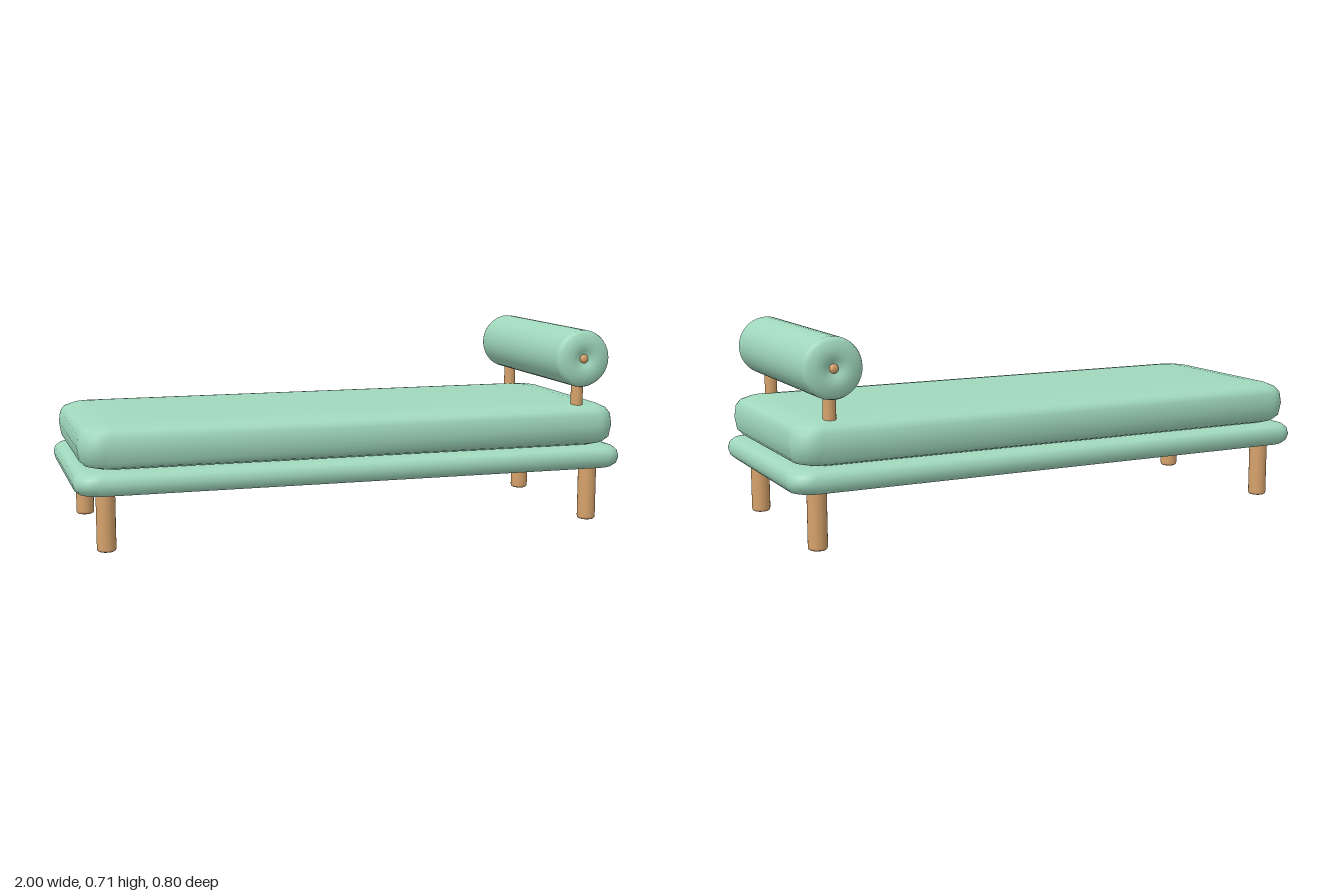
import * as THREE from 'three';

const fabric = new THREE.MeshStandardMaterial({ color: 0xa0d8bd });
fabric.name = 'mint fabric';
const wood = new THREE.MeshStandardMaterial({ color: 0xd6a26b });
wood.name = 'light wood';

function part(name, geometry, material, x = 0, y = 0, z = 0) {
  const mesh = new THREE.Mesh(geometry, material);
  mesh.name = name;
  mesh.position.set(x, y, z);
  return mesh;
}

// Stack of rounded rectangles; each profile entry is [inset, y], bottom to top
function cushionGeometry(halfX, halfZ, cornerRadius, profile) {
  const steps = 8, ring = 4 * (steps + 1);
  const positions = [], index = [];
  for (const [inset, y] of profile) {
    const r = cornerRadius * (1 - inset / halfZ);
    const cx = halfX - inset - r, cz = halfZ - inset - r;
    for (let corner = 0; corner < 4; corner++) {
      const sx = corner === 0 || corner === 3 ? 1 : -1;
      const sz = corner < 2 ? 1 : -1;
      for (let i = 0; i <= steps; i++) {
        const t = (corner + i / steps) * Math.PI / 2;
        positions.push(sx * cx + r * Math.cos(t), y, sz * cz + r * Math.sin(t));
      }
    }
  }
  for (let j = 0; j < profile.length - 1; j++) {
    for (let i = 0; i < ring; i++) {
      const a = j * ring + i, b = j * ring + (i + 1) % ring;
      index.push(a, a + ring, b, b, a + ring, b + ring);
    }
  }
  const geometry = new THREE.BufferGeometry();
  geometry.setAttribute('position', new THREE.Float32BufferAttribute(positions, 3));
  geometry.setIndex(index);
  geometry.computeVertexNormals();
  return geometry;
}

const lathe = (points, segments) =>
  new THREE.LatheGeometry(points.map(([r, y]) => new THREE.Vector2(r, y)), segments);

export function createModel() {
  const model = new THREE.Group();
  model.name = 'daybed';

  // Upholstered base and domed mattress
  model.add(part('base', cushionGeometry(1, 0.4, 0.08, [
    [0.4, 0.193], [0.1, 0.193], [0.05, 0.196], [0.02, 0.202], [0.006, 0.215], [0, 0.238],
    [0.005, 0.26], [0.018, 0.273], [0.04, 0.279], [0.1, 0.281], [0.4, 0.281],
  ]), fabric));
  model.add(part('mattress', cushionGeometry(0.98, 0.383, 0.09, [
    [0.383, 0.28], [0.1, 0.28], [0.05, 0.283], [0.024, 0.292], [0.007, 0.31], [0, 0.355],
    [0.005, 0.395], [0.018, 0.415], [0.045, 0.428], [0.1, 0.435], [0.2, 0.44], [0.383, 0.443],
  ]), fabric));

  // Legs with softened feet, and posts carrying the bolster
  const legGeometry = lathe([[0, 0], [0.026, 0], [0.031, 0.003], [0.033, 0.01], [0.033, 0.21]], 24);
  const postGeometry = new THREE.CylinderGeometry(0.022, 0.022, 0.14, 20);
  for (const z of [0.307, -0.307]) {
    for (const x of [0.89, -0.89]) model.add(part('leg', legGeometry, wood, x, 0, z));
    model.add(part('bolsterPost', postGeometry, wood, 0.84, 0.48, z));
  }

  // Bolster with dimpled ends
  const end = [[0.104, 0.342], [0.1, 0.353], [0.09, 0.361], [0.07, 0.367],
    [0.05, 0.369], [0.03, 0.364], [0.014, 0.355], [0, 0.353]];
  const outline = [...end.map(([r, y]) => [r, -y]).reverse(), [0.104, 0], ...end];
  const bolster = lathe(outline, 40).rotateX(Math.PI / 2);
  model.add(part('bolster', bolster, fabric, 0.84, 0.603, 0));

  // Wooden buttons in the bolster ends
  const button = new THREE.SphereGeometry(0.016, 16, 10).scale(1, 1, 0.6);
  for (const z of [0.358, -0.358]) model.add(part('bolsterButton', button, wood, 0.84, 0.603, z));

  return model;
}
